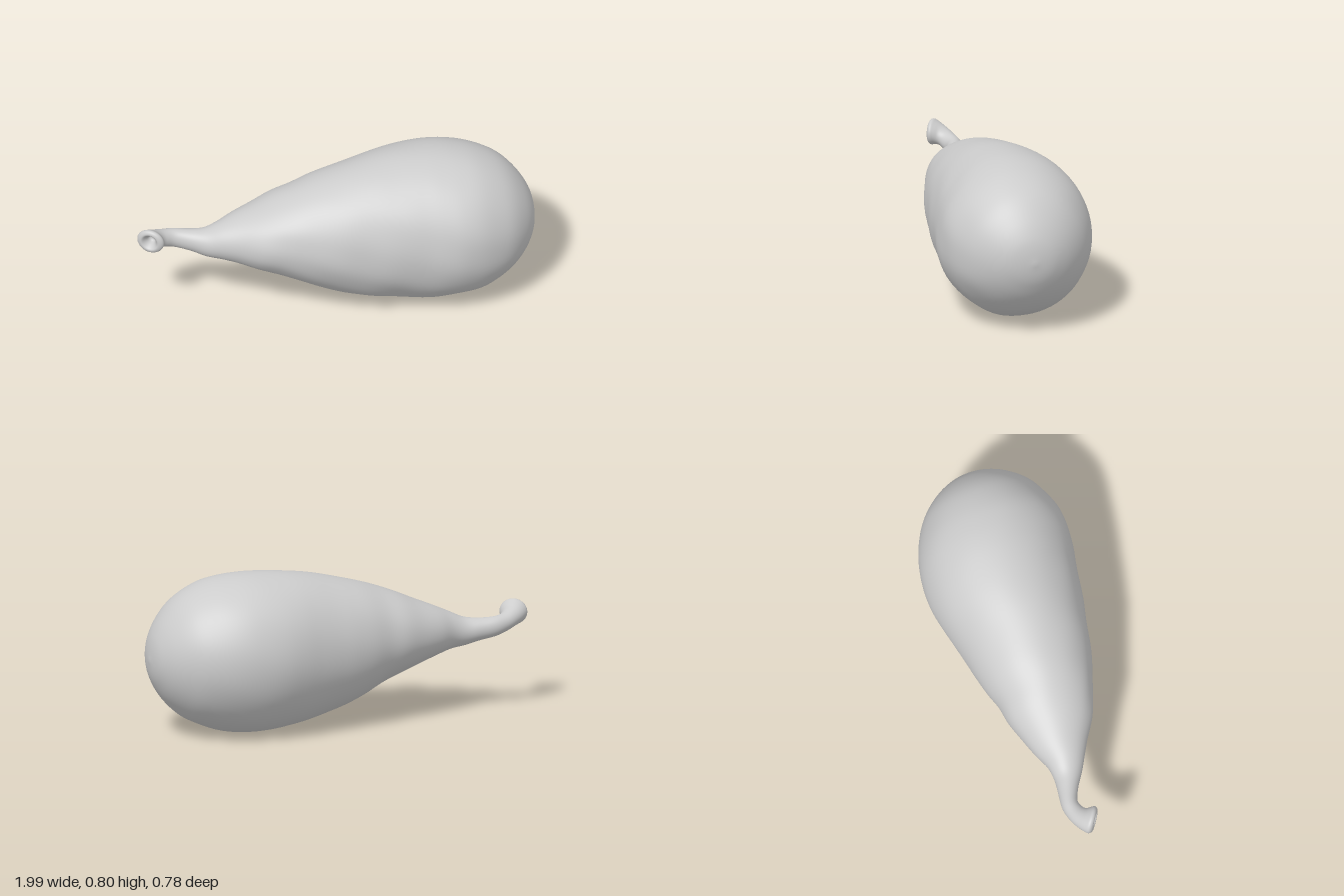
import * as THREE from 'three';

// Cross-sections from the stem mouth to the blossom end:
// centre x, y, z, vertical radius, horizontal radius, yaw of the section axis
const MOUTH = [
  [-0.912, 0.475, 0.002, 0, 0, -1.02],
  [-0.915, 0.475, 0.008, 0.016, 0.016, -1.02],
  [-0.928, 0.475, 0.029, 0.026, 0.026, -1.02],
  [-0.939, 0.475, 0.047, 0.042, 0.042, -1.02],
  [-0.937, 0.475, 0.044, 0.058, 0.060, -1.02],
  [-0.930, 0.474, 0.032, 0.064, 0.070, -1.02],
  [-0.920, 0.470, 0.014, 0.056, 0.064, -0.98],
];
const STEM = [
  [-0.897, 0.457, -0.010, 0.048, 0.052, -0.75],
  [-0.855, 0.439, -0.031, 0.046, 0.045, -0.35],
  [-0.80, 0.426, -0.042, 0.050, 0.043, -0.12],
];
// Body outline: x, top, bottom, back z, front z
const BODY = [
  [-0.72, 0.472, 0.357, -0.078, 0.03], [-0.65, 0.48, 0.335, -0.075, 0.07],
  [-0.58, 0.512, 0.322, -0.088, 0.105], [-0.5, 0.548, 0.298, -0.128, 0.145],
  [-0.4, 0.59, 0.262, -0.168, 0.2], [-0.3, 0.635, 0.225, -0.205, 0.235],
  [-0.2, 0.672, 0.182, -0.225, 0.265], [-0.1, 0.705, 0.132, -0.26, 0.29],
  [0, 0.732, 0.09, -0.287, 0.312], [0.1, 0.756, 0.06, -0.31, 0.328],
  [0.2, 0.776, 0.036, -0.337, 0.343], [0.3, 0.79, 0.019, -0.365, 0.355],
  [0.4, 0.798, 0.006, -0.385, 0.368], [0.5, 0.8, 0.002, -0.391, 0.381],
  [0.6, 0.792, 0.012, -0.382, 0.384], [0.7, 0.77, 0.036, -0.355, 0.368],
  [0.8, 0.725, 0.08, -0.31, 0.325], [0.87, 0.673, 0.132, -0.258, 0.278],
  [0.93, 0.602, 0.198, -0.192, 0.212], [0.97, 0.532, 0.268, -0.125, 0.145],
  [0.99, 0.47, 0.325, -0.067, 0.082], [1.0, 0.395, 0.395, 0.008, 0.008],
].map(([x, top, bottom, back, front]) =>
  [x, (top + bottom) / 2, (back + front) / 2, (top - bottom) / 2, (front - back) / 2, 0]);

// Shallow hand-made dents, strongest on the front and lower side
function dent(x, t) {
  const along = THREE.MathUtils.smoothstep(x, -0.65, -0.3) * (1 - THREE.MathUtils.smoothstep(x, 0.75, 0.97));
  const side = 0.3 + 0.7 * Math.max(0, Math.cos(t - 2.1));
  const wave = Math.sin(5 * t + 9 * x) * Math.sin(11 * x - 2 * t)
    + 0.6 * Math.sin(9 * t - 17 * x + 1.3) * Math.sin(6 * x + 3 * t);
  return 0.009 * along * side * wave;
}

function gourdGeometry(sides = 72, steps = 5) {
  const rows = [...MOUTH, ...STEM, ...BODY];
  const centres = new THREE.CatmullRomCurve3(
    rows.map(r => new THREE.Vector3(r[0], r[1], r[2])), false, 'catmullrom');
  const sizes = new THREE.CatmullRomCurve3(
    rows.map(r => new THREE.Vector3(r[3], r[4], r[5])), false, 'catmullrom');
  const count = (rows.length - 1) * steps;
  const positions = [], indices = [];
  for (let i = 0; i <= count; i++) {
    const c = centres.getPoint(i / count), s = sizes.getPoint(i / count);
    for (let j = 0; j < sides; j++) {
      const t = j / sides * Math.PI * 2, k = 1 + dent(c.x, t);
      const v = Math.max(s.x, 0) * k * Math.cos(t), h = Math.max(s.y, 0) * k * Math.sin(t);
      positions.push(c.x - h * Math.sin(s.z), c.y + v, c.z + h * Math.cos(s.z));
      if (i === count) continue;
      const a = i * sides + j, b = i * sides + (j + 1) % sides;
      indices.push(a, b, a + sides, b, b + sides, a + sides);
    }
  }
  const geometry = new THREE.BufferGeometry();
  geometry.setAttribute('position', new THREE.Float32BufferAttribute(positions, 3));
  geometry.setIndex(indices);
  geometry.computeVertexNormals();
  // Pole normals point straight along the section axis
  const n = geometry.attributes.normal;
  for (let j = 0; j < sides; j++) {
    n.setXYZ(j, -0.52, 0, 0.85);
    n.setXYZ(count * sides + j, 1, 0, 0);
  }
  return geometry;
}

export function createModel() {
  const group = new THREE.Group();
  group.name = 'gourd';
  // Pear-shaped body running into a curved stem with a dimpled, flared end
  const body = new THREE.Mesh(gourdGeometry(),
    new THREE.MeshStandardMaterial({ color: 0xcccccc }));
  body.name = 'bodyAndStem';
  group.add(body);
  return group;
}
